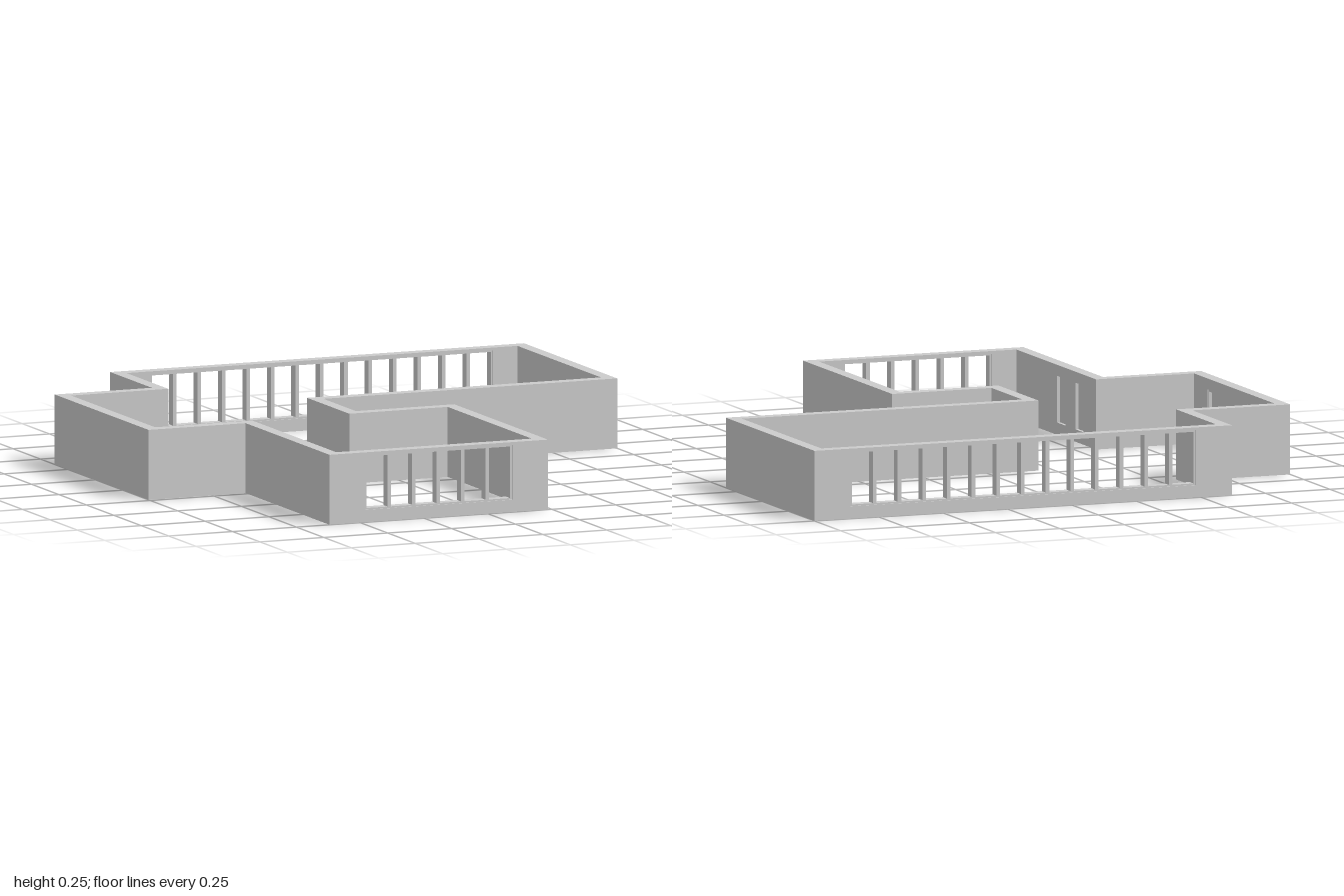
import * as THREE from 'three';

const H = 0.255, T = 0.045;          // wall height and thickness
const SILL = 0.045, HEAD = 0.245;    // window band
const DOOR_HEAD = 0.215;

export function createModel() {
  const model = new THREE.Group();
  model.name = 'floorPlanWalls';
  const mat = new THREE.MeshStandardMaterial({ color: 0xcccccc, flatShading: true });

  const add = (name, geo) => {
    const m = new THREE.Mesh(geo, mat);
    m.name = name;
    model.add(m);
    return m;
  };

  // box given by its limits
  const box = (name, x0, x1, y0, y1, z0, z1) =>
    add(name, new THREE.BoxGeometry(x1 - x0, y1 - y0, z1 - z0))
      .position.set((x0 + x1) / 2, (y0 + y1) / 2, (z0 + z1) / 2);

  const rect = (path, a, b, y0, y1) =>
    path.moveTo(a, y0).lineTo(b, y0).lineTo(b, y1).lineTo(a, y1).closePath();

  // wall running along x or z from a to b; "at" is its low side; openings are [a, b, y0, y1]
  const wall = (name, axis, a, b, at, openings = []) => {
    const shape = new THREE.Shape();
    rect(shape, a, b, 0, H);
    for (const o of openings) {
      const hole = new THREE.Path();
      rect(hole, ...o);
      shape.holes.push(hole);
    }
    const geo = new THREE.ExtrudeGeometry(shape, { depth: T, bevelEnabled: false });
    if (axis === 'x') geo.translate(0, 0, at);
    else geo.rotateY(-Math.PI / 2).translate(at + T, 0, 0);
    add(name, geo);
  };

  // window band: thin frame with evenly spaced mullions
  const windowBand = (name, a, b, z, panes) => {
    const f = 0.006, z0 = z + 0.004, z1 = z + T - 0.004;
    box(name + 'Sill', a, b, SILL, SILL + f, z0, z1);
    box(name + 'Head', a, b, HEAD - f, HEAD, z0, z1);
    for (let i = 0; i <= panes; i++) {
      const x = a + (b - a) * i / panes;
      const l = i === 0 ? 0 : 0.007, r = i === panes ? 0 : 0.007;
      box(name + 'Mullion', x - l, x + r, SILL + f, HEAD - f, z0, z1);
    }
  };

  const backWindow = [-0.48, 0.86, SILL, HEAD];
  const frontWindow = [-0.48, 0.095, SILL, HEAD];
  const doors = [[-0.445, -0.315], [-0.07, 0.06]];
  const niches = [[0.31, 0.39], [0.485, 0.565]];
  const tall = ([a, b]) => [a, b, SILL, DOOR_HEAD];

  // walls along x
  wall('backWall', 'x', -0.62, 1, -1, [backWindow]);
  wall('frontWall', 'x', -0.62, 0.235, 1 - T, [frontWindow]);
  wall('courtBackWall', 'x', -0.195, 1, -0.195);
  wall('courtFrontWall', 'x', -0.195, 0.235, 0.145);
  wall('bayBackWall', 'x', -1, -0.575, -0.62);
  wall('bayFrontWall', 'x', -1, -0.575, 0.19);

  // walls along z
  wall('leftWall', 'z', -0.955, -0.195, 1 - T);
  wall('courtSideWall', 'z', -0.15, 0.145, -0.195);
  wall('frontWingLeftWall', 'z', 0.19, 0.955, 0.19);
  wall('frontWingRightWall', 'z', 0.235, 0.955, -0.62, niches.map(tall));
  wall('bayWall', 'z', -0.575, 0.19, -1, doors.map(tall));
  wall('backWingRightWall', 'z', -0.955, -0.62, -0.62);

  windowBand('backWindow', backWindow[0], backWindow[1], -1, 14);
  windowBand('frontWindow', frontWindow[0], frontWindow[1], 1 - T, 6);

  // shallow niches on the inside of the front wing
  for (const [a, b] of niches) box('nichePanel', -0.62, -0.587, SILL, DOOR_HEAD, a, b);

  // doors on the inside of the bay, handles on the facing edges
  doors.forEach(([a, b], i) => {
    const f = 0.007, x0 = -1, x1 = -0.958;
    box('doorLeaf', x0, -0.968, SILL, DOOR_HEAD, a, b);
    box('doorJamb', -0.968, x1, SILL, DOOR_HEAD, a, a + f);
    box('doorJamb', -0.968, x1, SILL, DOOR_HEAD, b - f, b);
    box('doorHead', -0.968, x1, DOOR_HEAD - f, DOOR_HEAD, a + f, b - f);
    const z = i === 0 ? b - 0.004 : a + 0.004;
    box('doorHandle', -0.958, -0.949, 0.122, 0.136, z - 0.004, z + 0.004);
  });

  return model;
}
